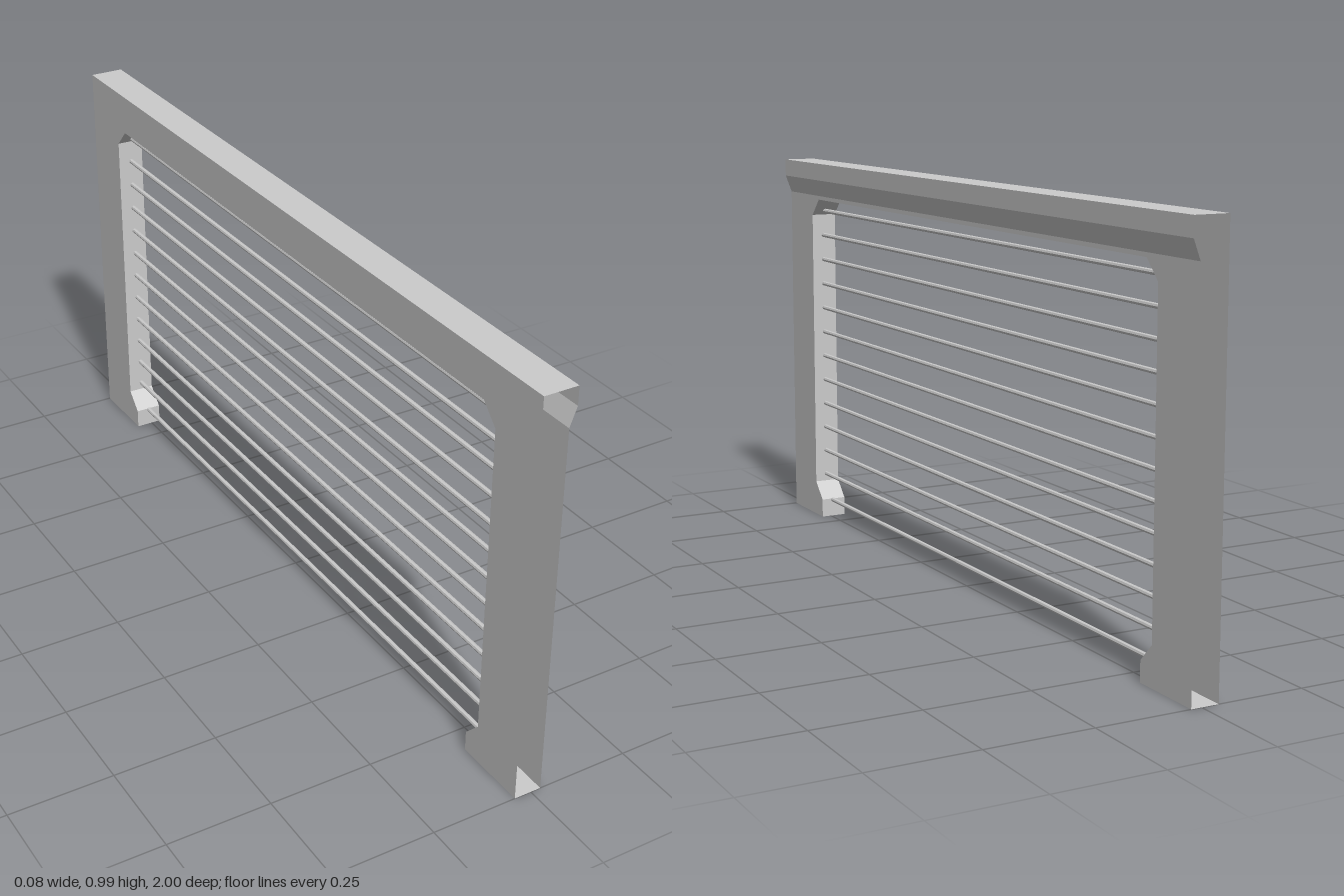
import * as THREE from 'three';

const BACK = -0.042, FACE = 0.025, LIP = 0.042; // x of the rear sheet, front sheet and top lip
const TOP = 0.99, EAVE = 0.9;

// Outline of the feet and opening, as [z, y], from one end to the other
const half = [[1, 0], [0.813, 0], [0.813, 0.049], [0.855, 0.093], [0.855, 0.845], [0.812, 0.89]];
const outline = [...half, ...half.map(([z, y]) => [-z, y]).reverse()];

const material = new THREE.MeshStandardMaterial({
  color: 0xcccccc, flatShading: true, side: THREE.DoubleSide,
});

function addMesh(group, name, geometry) {
  const mesh = new THREE.Mesh(geometry, material);
  mesh.name = name;
  group.add(mesh);
  return mesh;
}

// Folded sheet: a quad between each two neighbouring pairs of points
function strip(pairs) {
  const positions = [];
  for (let i = 0; i + 1 < pairs.length; i++) {
    const [a, b] = pairs[i], [c, d] = pairs[i + 1];
    positions.push(...a, ...b, ...d, ...a, ...d, ...c);
  }
  const geometry = new THREE.BufferGeometry();
  geometry.setAttribute('position', new THREE.Float32BufferAttribute(positions, 3));
  geometry.computeVertexNormals();
  return geometry;
}

// Flat portal-shaped sheet, facing +x (side 1) or -x (side -1)
function panel(x, top, side) {
  const points = [...outline, [-1, top], [1, top]].map(([z, y]) => new THREE.Vector2(z, y));
  return new THREE.ShapeGeometry(new THREE.Shape(points))
    .rotateY(side * Math.PI / 2).translate(x, 0, 0);
}

export function createModel() {
  const group = new THREE.Group();
  group.name = 'barredPortalFrame';

  // Hollow frame, open at both ends
  addMesh(group, 'frontPanel', panel(FACE, EAVE, 1));
  addMesh(group, 'rearPanel', panel(BACK, TOP, -1));
  addMesh(group, 'openingLining', strip(outline.map(([z, y]) => [[FACE, y, z], [BACK, y, z]])));

  // Flared lip and top of the beam
  const lip = [[FACE, EAVE], [LIP, 0.945], [LIP, TOP], [BACK, TOP]];
  addMesh(group, 'topBeam', strip(lip.map(([x, y]) => [[x, y, 1], [x, y, -1]])));

  // Thin horizontal bars, shortened where the corners narrow the opening
  const count = 13;
  for (let i = 0; i < count; i++) {
    const reach = i === 0 ? 0.813 : i === count - 1 ? 0.845 : 0.855;
    const bar = new THREE.CylinderGeometry(0.006, 0.006, 2 * reach, 8, 1, true).rotateX(Math.PI / 2);
    addMesh(group, `bar${i + 1}`, bar).position.set(-0.007, 0.046 + i * 0.0675, 0);
  }
  return group;
}
